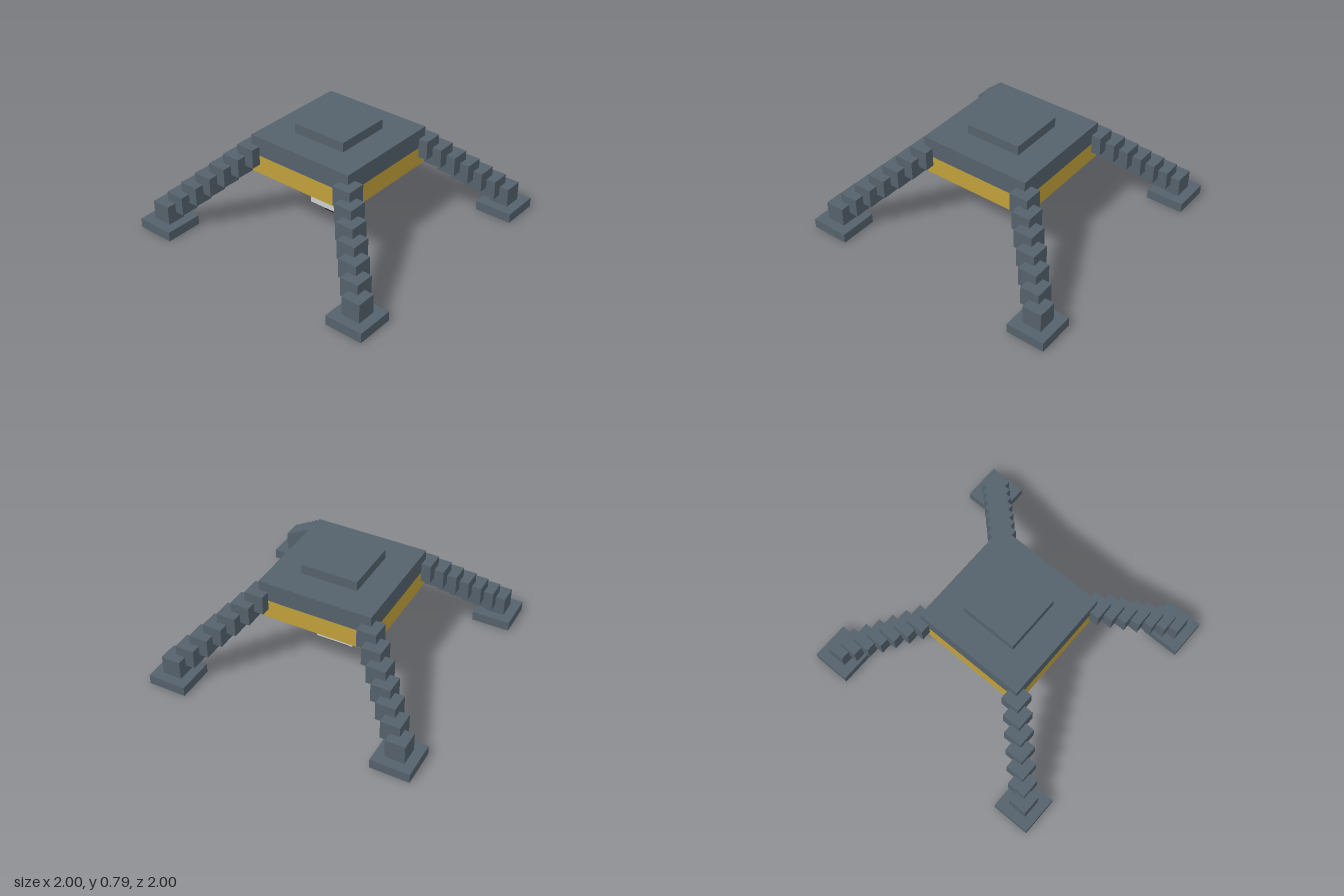
import * as THREE from 'three';

const U = 1 / 14; // grid unit: the whole model is 28 units wide

function material(name, color) {
  const m = new THREE.MeshStandardMaterial({ color });
  m.name = name;
  return m;
}

export function createModel() {
  const slate = material('slate', 0x54616c);
  const gold = material('gold', 0xc0a03a);
  const paleGrey = material('paleGrey', 0xcbcfd0);
  const black = material('black', 0x21212c);

  // Box by size and centre, in grid units
  const box = (parent, name, mat, [w, h, d], [x, y, z]) => {
    const mesh = new THREE.Mesh(new THREE.BoxGeometry(w * U, h * U, d * U), mat);
    mesh.name = name;
    mesh.position.set(x * U, y * U, z * U);
    parent.add(mesh);
  };

  const model = new THREE.Group();
  model.name = 'fourLeggedWalker';

  // Flat hull with a raised hatch and a coloured lower band
  box(model, 'hatch', slate, [6, 1, 6], [0, 10.5, 0]);
  box(model, 'upperHull', slate, [12, 2, 12], [0, 9, 0]);
  box(model, 'lowerHull', gold, [12, 2, 12], [0, 7, 0]);

  // Hanging pod with a lens on each side and one underneath
  const pod = new THREE.Group();
  pod.name = 'sensorPod';
  model.add(pod);
  box(pod, 'podBody', paleGrey, [4, 4, 4], [0, 4, 0]);
  box(pod, 'bottomLens', black, [2, 1, 2], [0, 1.5, 0]);
  for (const s of [-1, 1]) {
    box(pod, s > 0 ? 'frontLens' : 'backLens', black, [2, 1, 1], [0, 4.5, s * 2.5]);
    box(pod, s > 0 ? 'leftLens' : 'rightLens', black, [1, 1, 2], [s * 2.5, 4.5, 0]);
  }

  // Four stepped diagonal legs, each ending in a square foot
  for (const sx of [-1, 1]) {
    for (const sz of [-1, 1]) {
      const leg = new THREE.Group();
      leg.name = (sz > 0 ? 'front' : 'back') + (sx > 0 ? 'Left' : 'Right') + 'Leg';
      for (let i = 0; i < 7; i++) {
        const r = 6 + i;
        box(leg, 'legSegment', slate, [2, 2, 2], [sx * r, 8 - i, sz * r]);
      }
      box(leg, 'foot', slate, [4, 1, 4], [sx * 12, 0.5, sz * 12]);
      model.add(leg);
    }
  }
  return model;
}
